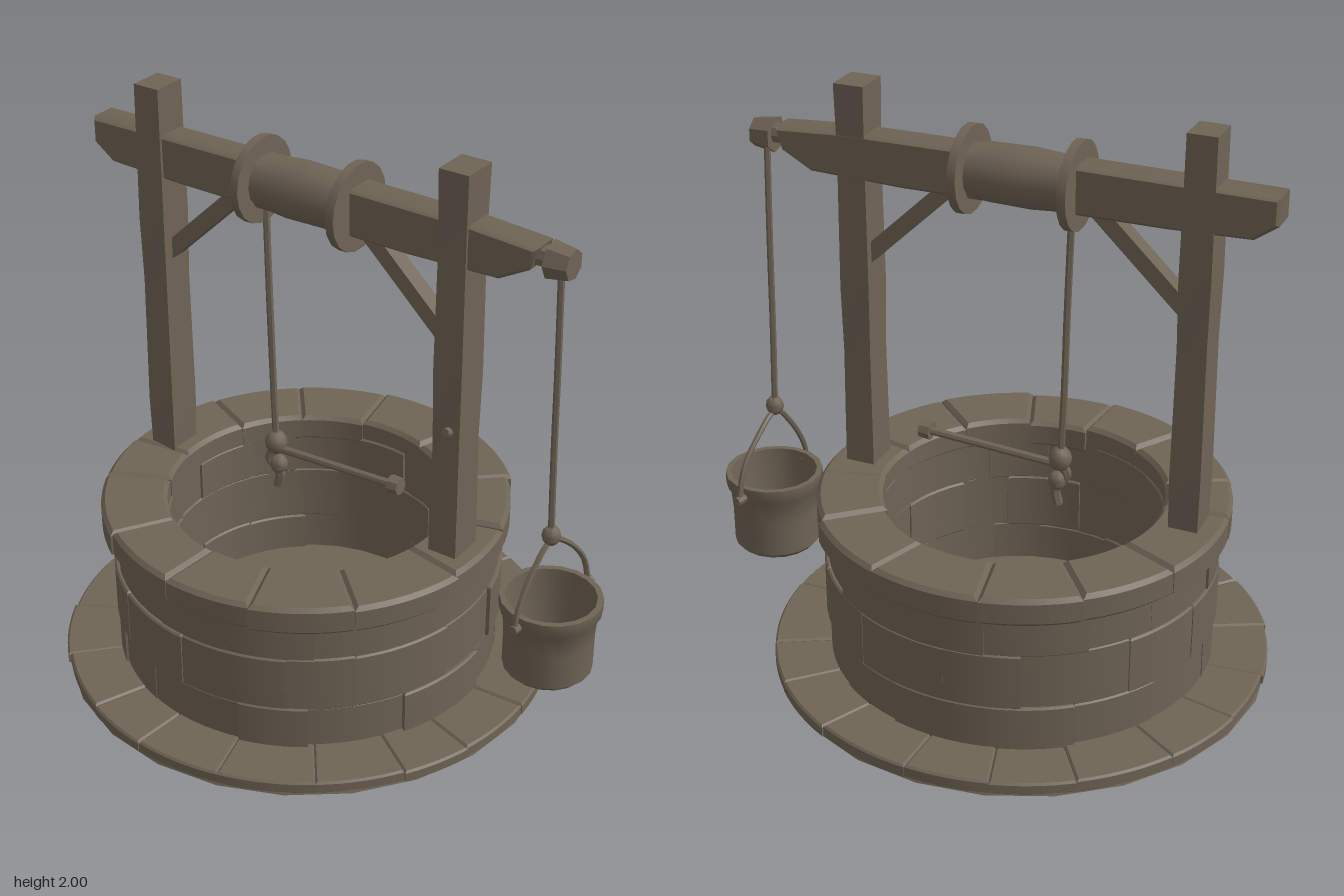
import * as THREE from 'three';
import { toCreasedNormals } from 'three/addons/utils/BufferGeometryUtils.js';

export function createModel() {
  const model = new THREE.Group();
  const material = new THREE.MeshStandardMaterial({ color: 0x6f6455 });
  material.name = 'weathered grey brown';
  const V = (x, y, z) => new THREE.Vector3(x, y, z);
  const CX = -0.12; // centre of the stone ring

  let seed = 7;
  const rand = (a, b) => {
    seed = (seed * 16807) % 2147483647;
    return a + (b - a) * (seed / 2147483647);
  };

  function add(name, geometry, parent = model) {
    const mesh = new THREE.Mesh(toCreasedNormals(geometry, 0.7), material);
    mesh.name = name;
    parent.add(mesh);
    return mesh;
  }

  // Round bar between two points
  function bar(name, a, b, r0, r1 = r0, sides = 8) {
    const dir = b.clone().sub(a);
    const mesh = add(name, new THREE.CylinderGeometry(r1, r0, dir.length(), sides));
    mesh.position.copy(a).addScaledVector(dir, 0.5);
    mesh.quaternion.setFromUnitVectors(V(0, 1, 0), dir.normalize());
    return mesh;
  }

  function tube(name, points, r) {
    const curve = new THREE.CatmullRomCurve3(points);
    return add(name, new THREE.TubeGeometry(curve, 24, r, 6));
  }

  // Ring of wedge-shaped stones with slightly uneven faces
  function stoneRing(name, count, inner, outer, y0, y1, bevel, turn, wobble) {
    const ring = new THREE.Group();
    ring.name = name;
    ring.position.x = CX;
    const step = (Math.PI * 2) / count;
    const joints = Array.from({ length: count }, (_, i) => turn + (i + rand(-0.15, 0.15)) * step);
    for (let i = 0; i < count; i++) {
      const a = joints[i];
      const b = i + 1 < count ? joints[i + 1] : joints[0] + Math.PI * 2;
      const out = outer + rand(-wobble, wobble);
      const shape = new THREE.Shape();
      shape.absarc(0, 0, out, a, b, false);
      shape.absarc(0, 0, inner + rand(-wobble, wobble) * 0.7, b, a, true);
      shape.closePath();
      const h = y1 - y0 + rand(-wobble, wobble) * 0.5;
      const geo = new THREE.ExtrudeGeometry(shape, {
        depth: h - bevel * 2, curveSegments: 4, bevelEnabled: true,
        bevelThickness: bevel, bevelSize: bevel, bevelOffset: -bevel, bevelSegments: 1,
      });
      geo.rotateX(-Math.PI / 2);
      geo.translate(0, y0 + bevel, 0);
      add('stone', geo, ring);
    }
    model.add(ring);
  }

  // Paving, wall courses and rim
  const base = add('baseDisc', new THREE.CylinderGeometry(0.85, 0.862, 0.035, 24));
  base.position.set(CX, 0.0175, 0);
  stoneRing('paving', 18, 0.6, 0.862, 0.004, 0.05, 0.007, 0.1, 0.008);
  const core = add('wallCore', new THREE.LatheGeometry([
    [0, 0.06], [0.49, 0.06], [0.49, 0.58], [0.655, 0.58], [0.655, 0.03],
  ].reverse().map(([x, y]) => new THREE.Vector2(x, y)), 32));
  core.position.x = CX;
  [[0.03, 0.2], [0.2, 0.4], [0.4, 0.555]].forEach(([y0, y1], i) =>
    stoneRing('wallCourse', 14, 0.485, 0.673, y0, y1 + 0.004, 0.006, i * 0.23, 0.009));
  stoneRing('rim', 13, 0.48, 0.708, 0.535, 0.635, 0.014, 0.3, 0.01);

  // Timber posts with tapered tops, and diagonal braces
  for (const side of [-1, 1]) {
    const x = CX + side * 0.59;
    const geo = new THREE.BoxGeometry(0.102, 1.42, 0.125, 1, 6, 1);
    const p = geo.attributes.position;
    for (let i = 0; i < p.count; i++) {
      const wave = 1 + 0.04 * Math.sin(p.getY(i) * 9 + side);
      p.setX(i, p.getX(i) * wave);
      p.setZ(i, p.getZ(i) * wave);
    }
    geo.computeVertexNormals();
    add('post', geo).position.set(x, 1.285, 0.005);

    const brace = add('brace', new THREE.BoxGeometry(0.055, 0.48, 0.06));
    brace.position.set(CX + side * 0.4, 1.55, 0);
    brace.rotation.z = side * 0.81;
  }
  bar('postPeg', V(0.48, 1.1, 0.05), V(0.48, 1.11, 0.088), 0.02, 0.014);

  // Crossbeam with chamfered lower ends
  const outline = [
    [-0.95, 1.745], [-0.88, 1.695], [-0.6, 1.685], [0.3, 1.68], [0.62, 1.69],
    [0.72, 1.745], [0.74, 1.805], [0.5, 1.82], [-0.2, 1.825], [-0.95, 1.82],
  ].map(([x, y]) => new THREE.Vector2(x, y));
  const beam = new THREE.ExtrudeGeometry(new THREE.Shape(outline), {
    depth: 0.09, bevelEnabled: true, bevelThickness: 0.012, bevelSize: 0.01, bevelSegments: 1,
  });
  beam.translate(0, 0, -0.045);
  add('crossbeam', beam);
  bar('spindle', V(0.66, 1.775, 0), V(0.82, 1.775, 0), 0.038, 0.034);
  bar('spindleCollar', V(0.775, 1.77, 0), V(0.85, 1.77, 0), 0.062, 0.05, 7);

  // Rope drum and its flanges
  const drum = add('drum', new THREE.LatheGeometry([
    [0, -0.18], [0.085, -0.18], [0.097, -0.1], [0.1, 0.05], [0.09, 0.18], [0, 0.18],
  ].map(([x, y]) => new THREE.Vector2(x, y)), 14));
  drum.position.set(-0.1, 1.755, 0);
  drum.rotation.z = Math.PI / 2;
  for (const x of [-0.297, 0.073]) {
    const r = 0.147;
    bar('drumFlange', V(x - 0.015, 1.755, 0), V(x + 0.015, 1.755, 0), r, r, 18);
  }

  // Inner rope, knot, frayed end and hanging rod
  tube('innerRope', [V(-0.28, 1.7, 0), V(-0.268, 1.3, 0.004), V(-0.265, 1, -0.003), V(-0.255, 0.78, 0)], 0.012);
  const knot = (x, y, z, r) => {
    const mesh = add('knot', new THREE.IcosahedronGeometry(r, 1));
    mesh.position.set(x, y, z);
    mesh.scale.set(1, 1.15, 1);
  };
  knot(-0.255, 0.775, 0, 0.04);
  knot(-0.245, 0.69, 0, 0.032);
  tube('ropeEnd', [V(-0.255, 0.76, 0), V(-0.275, 0.71, 0.01), V(-0.24, 0.66, 0), V(-0.25, 0.6, 0)], 0.017);
  bar('hangingRod', V(-0.25, 0.752, 0), V(0.23, 0.778, 0), 0.014);
  bar('rodKnob', V(0.22, 0.778, 0), V(0.26, 0.78, 0), 0.033, 0.03);

  // Outer rope and bucket
  tube('outerRope', [V(0.79, 1.76, -0.035), V(0.797, 1.4, -0.04), V(0.8, 1.1, -0.045), V(0.81, 0.76, -0.045)], 0.011);
  knot(0.81, 0.775, -0.045, 0.032);
  const bucket = add('bucket', new THREE.LatheGeometry([
    [0, 0.24], [0.135, 0.24], [0.152, 0.258], [0.152, 0.38], [0.158, 0.465], [0.172, 0.485],
    [0.172, 0.528], [0.152, 0.528], [0.143, 0.4], [0.132, 0.28], [0, 0.28],
  ].map(([x, y]) => new THREE.Vector2(x, y)), 18));
  bucket.position.set(0.815, 0, -0.065);
  tube('bucketHandle', [
    V(0.785, 0.48, 0.12), V(0.785, 0.55, 0.105), V(0.795, 0.68, 0.03), V(0.81, 0.755, -0.045),
    V(0.825, 0.7, -0.14), V(0.845, 0.6, -0.22), V(0.85, 0.48, -0.255),
  ], 0.01);
  bar('handlePin', V(0.792, 0.49, 0.08), V(0.785, 0.49, 0.13), 0.016);
  bar('handlePin', V(0.842, 0.49, -0.22), V(0.852, 0.49, -0.27), 0.016);

  return model;
}
